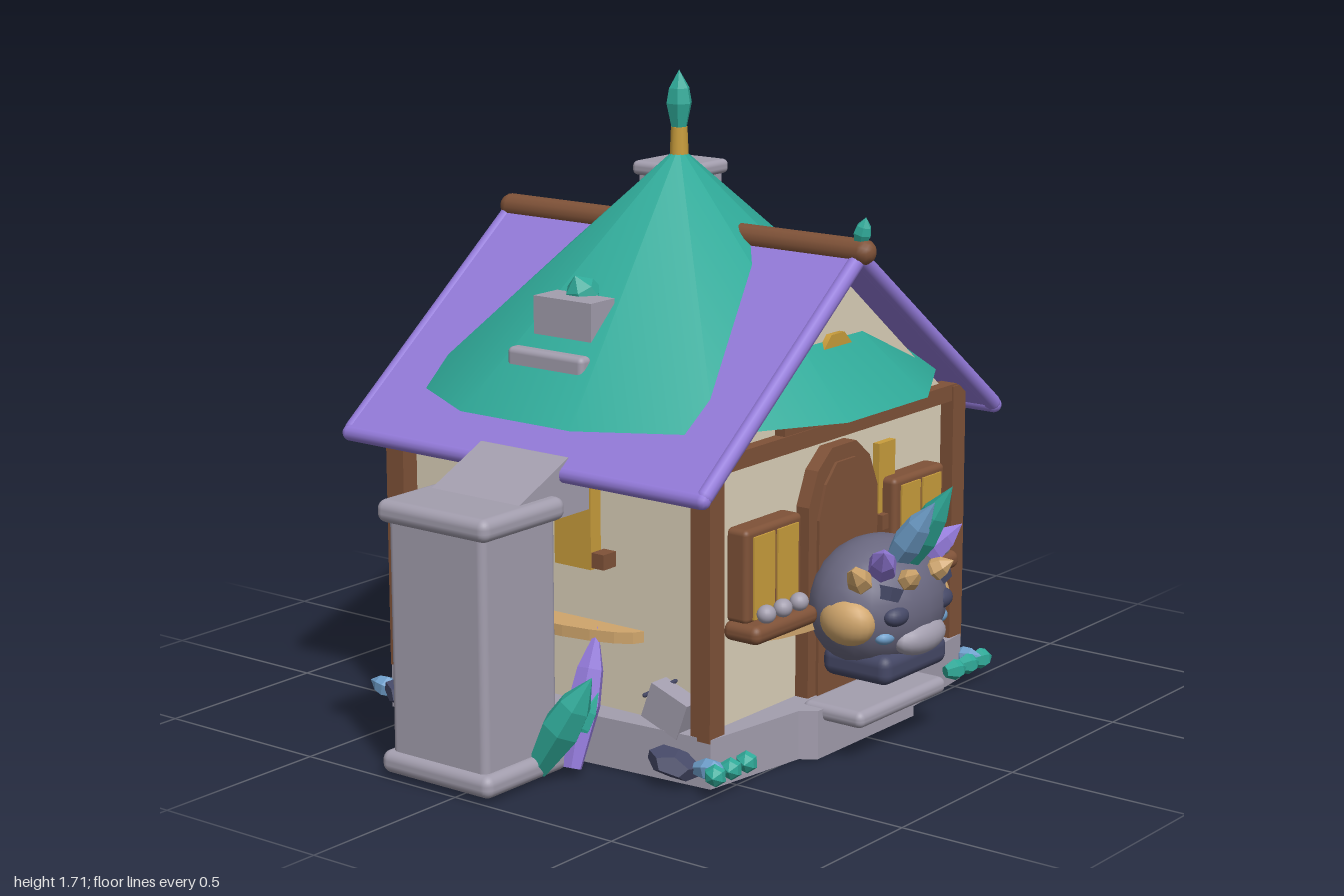
import * as THREE from 'three';
import { RoundedBoxGeometry } from 'three/addons/geometries/RoundedBoxGeometry.js';

const mat = (name, color) => Object.assign(new THREE.MeshStandardMaterial({ color }), { name });

export function createModel() {
  const model = new THREE.Group();
  model.name = 'crystalCottage';
  const teal = mat('teal', 0x2fa998), purple = mat('purple', 0x9279d8), stone = mat('stone', 0xa39eae),
    slate = mat('slate', 0x6a6880), navy = mat('navy', 0x454866), brown = mat('brown', 0x7f5238),
    gold = mat('gold', 0xc99d3c), tan = mat('tan', 0xcfa56c), cream = mat('cream', 0xdcd1ba), blue = mat('blue', 0x6f9fcb);
  const V = (x, y, z) => new THREE.Vector3(x, y, z);
  const UP = V(0, 1, 0), CZ = -0.07;

  const add = (name, geo, m, x = 0, y = 0, z = 0, rx = 0, ry = 0, rz = 0) => {
    const mesh = new THREE.Mesh(geo, m);
    mesh.name = name;
    mesh.position.set(x, y, z);
    mesh.rotation.set(rx, ry, rz);
    model.add(mesh);
    return mesh;
  };
  // box given by its two extreme corners
  const block = (name, m, x0, x1, y0, y1, z0, z1, r = 0) => add(name,
    r ? new RoundedBoxGeometry(x1 - x0, y1 - y0, z1 - z0, 3, r) : new THREE.BoxGeometry(x1 - x0, y1 - y0, z1 - z0),
    m, (x0 + x1) / 2, (y0 + y1) / 2, (z0 + z1) / 2);
  const ball = (name, m, x, y, z, sx, sy, sz) => {
    const mesh = add(name, new THREE.SphereGeometry(1, 20, 14), m, x, y, z);
    mesh.scale.set(sx, sy, sz);
    return mesh;
  };
  const flat = (geo) => {
    const g = geo.index ? geo.toNonIndexed() : geo;
    g.computeVertexNormals();
    return g;
  };
  const rock = (name, m, x, y, z, sx, sy, sz, spin = 0.4) => {
    const mesh = add(name, flat(new THREE.DodecahedronGeometry(1)), m, x, y, z, 0.3, spin, 0.2);
    mesh.scale.set(sx, sy, sz);
  };
  const along = (mesh, a, b) => {
    mesh.position.copy(a);
    mesh.quaternion.setFromUnitVectors(UP, b.clone().sub(a).normalize());
    return mesh;
  };
  // six-sided pointed crystal from a to b
  const crystal = (name, m, a, b, r) => {
    const L = a.distanceTo(b);
    const pts = [[0, 0], [r * 0.55, 0], [r, L * 0.45], [r * 0.8, L * 0.7], [0, L]].map((p) => new THREE.Vector2(...p));
    along(add(name, flat(new THREE.LatheGeometry(pts, 6)), m), a, b);
  };
  const rod = (name, m, a, b, r) => {
    const L = a.distanceTo(b);
    const g = new THREE.CapsuleGeometry(r, L - r, 4, 12).translate(0, L / 2, 0);
    along(add(name, g, m), a, b);
  };
  const extrude = (pts, depth) => new THREE.ExtrudeGeometry(
    new THREE.Shape(pts.map((p) => new THREE.Vector2(...p))), { depth, bevelEnabled: false });

  // foundation
  const base = [[-0.57, -0.47], [-0.25, -0.51], [-0.22, -0.55], [0.22, -0.55], [0.25, -0.51], [0.57, -0.47],
    [0.61, 0.07], [0.57, 0.61], [0.25, 0.69], [-0.25, 0.69], [-0.57, 0.61], [-0.61, 0.07]];
  add('foundation', extrude(base, 0.13), stone, 0, 0, 0, -Math.PI / 2);
  block('doorStep', stone, -0.2, 0.2, 0.095, 0.14, 0.48, 0.67, 0.02);

  // plastered walls with gables
  add('walls', extrude([[-0.52, 0.1], [0.52, 0.1], [0.52, 0.83], [0, 1.24], [-0.52, 0.83]], 1), cream, 0, 0, -0.57);

  // timber frame
  for (const z of [0.44, -0.58]) {
    for (const s of [-1, 1]) block('cornerPost', brown, s * 0.543 - 0.03, s * 0.543 + 0.03, 0.12, 0.84, z - 0.03, z + 0.03);
    block('wallBeam', brown, -0.57, 0.57, 0.8, 0.845, z - 0.025, z + 0.025);
    for (const s of [-1, 1]) block('upperBeam', brown, s * 0.16 - 0.09, s * 0.16 + 0.09, 0.84, 0.89, z - 0.022, z + 0.022);
  }
  for (const s of [-1, 1]) block('sideBeam', brown, s * 0.535 - 0.02, s * 0.535 + 0.02, 0.8, 0.84, -0.58, 0.44);

  // purple gable roof
  const slope = Math.atan2(0.5, 0.655), rakeLen = Math.hypot(0.5, 0.655);
  for (const s of [-1, 1]) {
    add('roofSlab', new THREE.BoxGeometry(rakeLen, 0.034, 1.18), purple, s * 0.3275, 1.025, -0.075, 0, 0, -s * slope);
    for (const z of [0.51, -0.66]) rod('roofRake', purple, V(0, 1.275, z), V(s * 0.655, 0.772, z), 0.022);
    rod('roofEave', purple, V(s * 0.655, 0.77, -0.67), V(s * 0.655, 0.77, 0.52), 0.022);
  }
  rod('ridgeBeam', brown, V(0, 1.29, -0.67), V(0, 1.29, 0.54), 0.034);
  crystal('ridgeCrystal', teal, V(0, 1.3, 0.51), V(0, 1.38, 0.53), 0.025);

  // teal twelve-sided roof cone
  add('roofCone', new THREE.ConeGeometry(0.7, 0.62, 12), teal, 0, 1.2, CZ, 0, Math.PI / 12);
  add('finialCollar', new THREE.CylinderGeometry(0.022, 0.026, 0.09, 12), gold, 0, 1.515, CZ);
  crystal('finialCrystal', teal, V(0, 1.55, CZ), V(0, 1.71, CZ), 0.036);
  for (const z of [0.432, -0.572]) {
    add('gableWindow', new THREE.CylinderGeometry(0.075, 0.075, 0.03, 8), gold, 0, 1.0, z, Math.PI / 2, Math.PI / 8);
  }

  // chimney and broken roof stones
  block('chimney', stone, 0.22, 0.375, 1.0, 1.39, -0.38, -0.215);
  block('chimneyCap', stone, 0.2, 0.395, 1.375, 1.415, -0.395, -0.2, 0.016);
  block('roofStone', stone, -0.48, -0.385, 1.04, 1.17, -0.17, 0.02);
  block('roofStoneSlab', stone, -0.555, -0.51, 0.98, 1.045, -0.2, 0.05, 0.015);
  crystal('roofCrystal', teal, V(-0.36, 1.12, -0.08), V(-0.41, 1.22, -0.09), 0.05);

  // side pillars with sloping braces and crystals
  for (const s of [-1, 1]) {
    const pillar = (name, x0, x1, y0, y1, z0, z1, r) =>
      block(name, stone, Math.min(s * x0, s * x1), Math.max(s * x0, s * x1), y0, y1, z0, z1, r);
    pillar('pillarShaft', 0.7, 0.98, 0.03, 0.7, -0.23, 0.085, 0.02);
    pillar('pillarFoot', 0.685, 1, 0.01, 0.07, -0.255, 0.11, 0.025);
    pillar('pillarCap', 0.685, 1, 0.665, 0.725, -0.255, 0.11, 0.025);
    const brace = [[0.52, 0.66], [0.72, 0.66], [0.84, 0.72], [0.64, 0.81], [0.52, 0.81]].map(([x, y]) => [s * x, y]);
    add('pillarBrace', extrude(brace, 0.29), stone, 0, 0, -0.215);

    crystal('frontPillarCrystal', s > 0 ? blue : teal, V(s * 0.78, 0.03, 0.08), V(s * 0.74, s > 0 ? 0.32 : 0.29, 0.23), 0.055);
    crystal('backPillarCrystal', s > 0 ? teal : blue, V(s * 0.78, 0.03, -0.22), V(s * 0.74, 0.3, -0.36), 0.05);
    crystal('innerCrystal', purple, V(s * 0.7, 0.02, 0.13), V(s * 0.57, 0.36, 0.11), 0.045);
    crystal('innerCrystal', purple, V(s * 0.68, 0.02, -0.24), V(s * 0.58, 0.32, -0.24), 0.04);
    crystal('innerTealCrystal', teal, V(s * 0.7, 0.06, 0.1), V(s * 0.63, 0.21, 0.16), 0.035);

    // rubble around the corners
    for (const k of [1, -1]) {
      const z = (d) => CZ + k * d;
      rock('darkRubble', navy, s * 0.6, 0.06, z(0.45), 0.05, 0.035, 0.075);
      add('looseStone', new THREE.BoxGeometry(0.06, 0.1, 0.12), stone, s * 0.55, 0.18, z(0.4), k * 0.35, 0, 0);
      rod('darkSplinter', navy, V(s * 0.56, 0.2, z(0.32)), V(s * 0.5, 0.26, z(0.42)), 0.006);
      crystal('rubbleCrystal', blue, V(s * 0.58, 0.05, z(0.5)), V(s * 0.59, 0.07, z(0.6)), 0.03);
    }
    for (let i = 0; i < 3; i++) {
      crystal('tinyCrystal', teal, V(s * (0.45 + i * 0.065), 0.055, 0.5), V(s * (0.51 + i * 0.065), 0.06, 0.53), 0.03);
    }
  }

  // arched door
  const arch = (w, top) => [[-w, 0.13], [w, 0.13], [w, top - 0.14], [w * 0.75, top - 0.05], [w * 0.35, top],
    [-w * 0.35, top], [-w * 0.75, top - 0.05], [-w, top - 0.14]];
  add('doorFrame', extrude(arch(0.155, 0.78), 0.05), brown, 0, 0, 0.42);
  add('door', extrude(arch(0.12, 0.74), 0.05), brown, 0, 0, 0.428);

  // front windows with sills
  for (const s of [-1, 1]) {
    const x = s * 0.328;
    block('windowFrame', brown, x - 0.12, x + 0.12, 0.4, 0.645, 0.42, 0.49, 0.015);
    for (const d of [-1, 1]) block('windowPane', gold, x + d * 0.05 - 0.044, x + d * 0.05 + 0.044, 0.41, 0.625, 0.485, 0.495);
    block('windowSill', brown, x - 0.135, x + 0.135, 0.355, 0.405, 0.42, 0.535, 0.022);
    for (const d of [-1, 0, 1]) ball('sillPebble', stone, x + d * 0.07, 0.425, 0.515, 0.026, 0.024, 0.024);

    // shuttered panels on the side walls
    for (const d of [-1, 1]) {
      block('sidePanel', gold, s * 0.54 - 0.02, s * 0.54 + 0.02, 0.5, 0.74, CZ + d * 0.09 - 0.06, CZ + d * 0.09 + 0.06);
      block('panelPeg', brown, s * 0.54 - 0.03, s * 0.54 + 0.03, 0.51, 0.55, CZ + d * 0.18 - 0.02, CZ + d * 0.18 + 0.02);
    }
  }
  block('frontPanel', gold, 0.19, 0.265, 0.53, 0.74, 0.425, 0.45);
  block('panelPeg', brown, 0.18, 0.225, 0.51, 0.55, 0.425, 0.47);

  // crescent ledges on the four walls
  const ledge = (w, d, x, z, ry) => {
    const pts = [];
    for (let i = 0; i <= 10; i++) pts.push([w * Math.cos(Math.PI * i / 10), -d * Math.sin(Math.PI * i / 10)]);
    const g = extrude(pts.reverse(), 0.03);
    g.rotateX(-Math.PI / 2);
    add('crescentLedge', g, tan, x, 0.325, z, 0, ry);
  };
  ledge(0.35, 0.08, 0, 0.43, 0);
  ledge(0.41, 0.21, 0, -0.575, Math.PI);
  ledge(0.29, 0.09, 0.52, CZ, Math.PI / 2);
  ledge(0.29, 0.09, -0.52, CZ, -Math.PI / 2);

  // rock cluster on the back ledge
  const bowl = add('backBowl', flat(new THREE.SphereGeometry(1, 10, 4, 0, Math.PI * 2, Math.PI / 2, Math.PI / 2)), navy, 0, 0.33, -0.575);
  bowl.scale.set(0.36, 0.11, 0.17);
  for (const s of [-1, 1]) {
    rock('backRock', slate, s * 0.12, 0.46, -0.64, 0.11, 0.11, 0.1, s);
    rock('backSmallRock', slate, s * 0.27, 0.39, -0.61, 0.06, 0.05, 0.05, s);
    crystal('backSpike', tan, V(s * 0.06, 0.4, -0.68), V(s * 0.02, 0.5, -0.76), 0.04);
    crystal('backSpike', tan, V(s * 0.2, 0.38, -0.66), V(s * 0.27, 0.48, -0.7), 0.035);
    crystal('backCrystal', s > 0 ? purple : blue, V(s * 0.1, 0.52, -0.62), V(s * 0.11, 0.74, -0.62), 0.045);
    crystal('backShard', navy, V(s * 0.14, 0.29, -0.66), V(s * 0.16, 0.26, -0.8), 0.05);
    crystal('backShard', navy, V(s * 0.29, 0.3, -0.58), V(s * 0.37, 0.25, -0.68), 0.04);
  }

  // boulder face guarding the door
  ball('guardianHead', slate, 0, 0.38, 0.58, 0.21, 0.175, 0.165);
  ball('guardianNose', stone, 0, 0.31, 0.71, 0.1, 0.048, 0.05);
  block('guardianJaw', navy, -0.145, 0.145, 0.2, 0.28, 0.5, 0.71, 0.03);
  for (const s of [-1, 1]) {
    ball('guardianCheek', tan, s * 0.17, 0.37, 0.605, 0.055, 0.065, 0.08);
    ball('guardianEye', navy, s * 0.1, 0.385, 0.705, 0.045, 0.028, 0.03);
    ball('guardianLowerEye', blue, s * 0.12, 0.33, 0.685, 0.035, 0.02, 0.025);
    add('guardianBrow', new THREE.BoxGeometry(0.1, 0.035, 0.05), navy, s * 0.09, 0.435, 0.69, 0, 0, s * 0.35);
    crystal('crestBlue', blue, V(s * 0.025, 0.46, 0.62), V(s * 0.035, 0.68, 0.775), 0.042);
    crystal('crestPurple', purple, V(s * 0.06, 0.46, 0.63), V(s * 0.18, 0.57, 0.72), 0.04);
    crystal('crestSpike', tan, V(s * 0.11, 0.44, 0.62), V(s * 0.22, 0.52, 0.65), 0.035);
    crystal('crestSpike', tan, V(s * 0.05, 0.45, 0.68), V(s * 0.08, 0.5, 0.76), 0.03);
  }
  crystal('crestTeal', teal, V(0, 0.46, 0.64), V(0, 0.72, 0.805), 0.046);

  return model;
}
